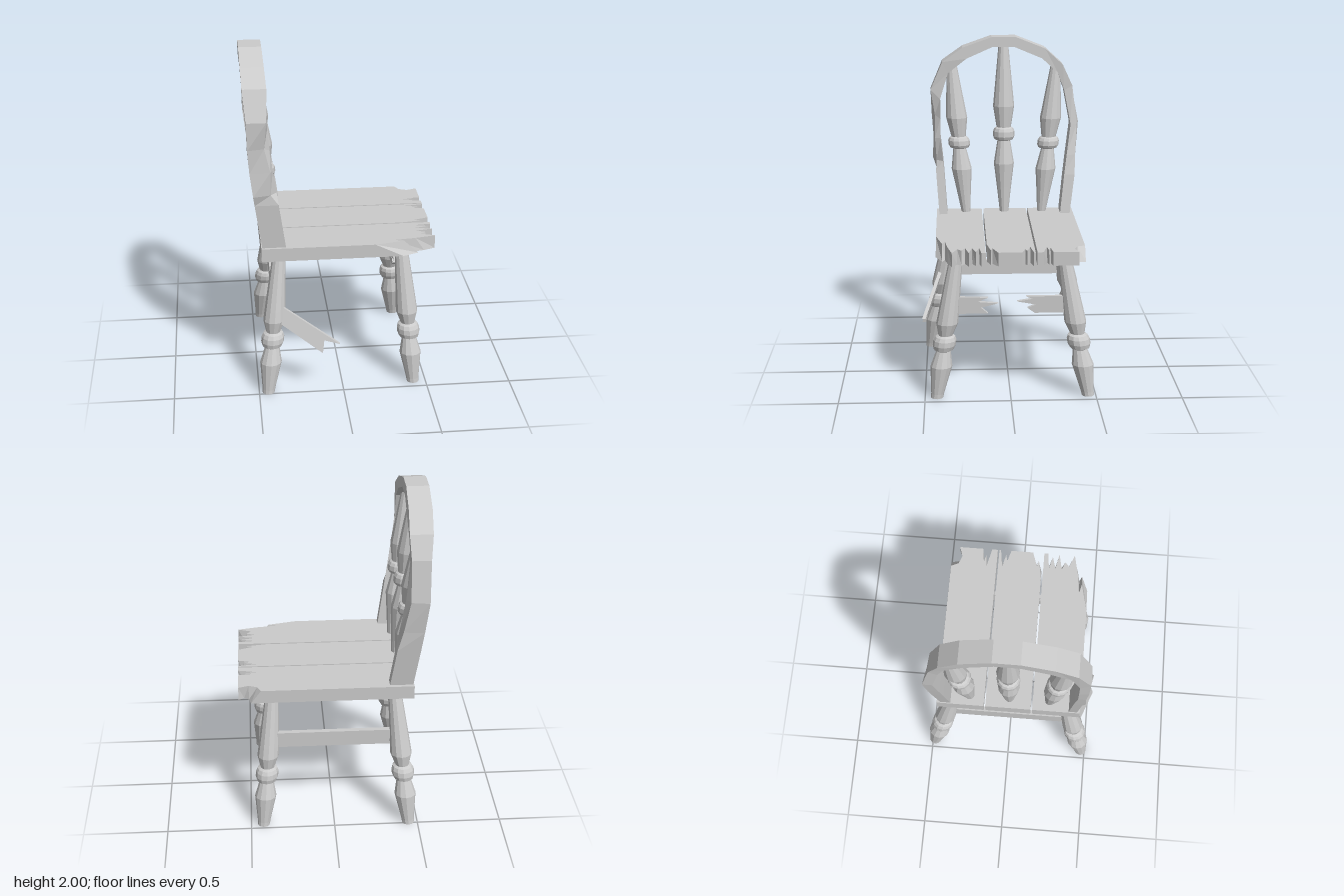
import * as THREE from 'three';

const material = new THREE.MeshStandardMaterial({ color: 0xcccccc, flatShading: true, side: THREE.DoubleSide });
const lerp = THREE.MathUtils.lerp;

function part(name, geometry) {
  geometry.computeVertexNormals();
  const mesh = new THREE.Mesh(geometry, material);
  mesh.name = name;
  return mesh;
}

// Moves every vertex of a geometry by a rule
function bend(geometry, rule) {
  const p = geometry.attributes.position;
  const v = new THREE.Vector3();
  for (let i = 0; i < p.count; i++) {
    rule(v.fromBufferAttribute(p, i));
    p.setXYZ(i, v.x, v.y, v.z);
  }
  return geometry;
}

// Turned post: a lathe with profile [radius, height 0..1], leaned from bottom to top
function turned(name, profile, bottom, top) {
  const h = top[1] - bottom[1];
  const points = profile.map(([r, t]) => new THREE.Vector2(r, t * h));
  return part(name, bend(new THREE.LatheGeometry(points, 12), v => {
    const t = v.y / h;
    v.x += lerp(bottom[0], top[0], t);
    v.y += bottom[1];
    v.z += lerp(bottom[2], top[2], t);
  }));
}

function board(points, depth) {
  const shape = new THREE.Shape(points.map(p => new THREE.Vector2(p[0], p[1])));
  return new THREE.ExtrudeGeometry(shape, { depth, bevelEnabled: false });
}

function box(name, size, position) {
  return part(name, new THREE.BoxGeometry(...size).translate(...position));
}

// Half-width of the bow along x, leaning back with height
const bowHeights = [0.88, 1.2, 1.45, 1.7, 1.85, 2];
const bowFront = [-0.32, -0.365, -0.4, -0.425, -0.415, -0.425];
const bowBack = [-0.455, -0.5, -0.53, -0.535, -0.55, -0.555];
function alongBow(values, y) {
  let i = 0;
  while (i < 4 && y > bowHeights[i + 1]) i++;
  return lerp(values[i], values[i + 1], (y - bowHeights[i]) / (bowHeights[i + 1] - bowHeights[i]));
}

// Bow: rows of [outer z, outer y, inner z, inner y, chip at the outer front corner]
function bow() {
  const rows = [
    [0.41, 0.88, 0.36, 0.88, 0], [0.43, 1.18, 0.38, 1.18, 0], [0.45, 1.24, 0.385, 1.24, 0.035],
    [0.445, 1.38, 0.40, 1.38, 0.015], [0.455, 1.52, 0.40, 1.5, 0.03], [0.458, 1.68, 0.40, 1.62, 0],
    [0.385, 1.85, 0.35, 1.78, 0], [0.26, 1.937, 0.235, 1.87, 0], [0.08, 2, 0.075, 1.94, 0],
    [-0.07, 2, -0.06, 1.94, 0], [-0.25, 1.93, -0.23, 1.87, 0], [-0.36, 1.83, -0.33, 1.78, 0],
    [-0.42, 1.7, -0.37, 1.67, 0], [-0.468, 1.46, -0.41, 1.46, 0.025], [-0.45, 1.27, -0.385, 1.27, 0.015],
    [-0.435, 1.15, -0.37, 1.15, 0], [-0.40, 0.88, -0.34, 0.88, 0],
  ];
  const positions = [];
  const index = [];
  rows.forEach(([oz, oy, iz, iy, chip], k) => {
    positions.push(
      alongBow(bowFront, oy) - chip, oy, oz - Math.sign(oz) * chip * 0.7,
      alongBow(bowBack, oy), oy, oz,
      alongBow(bowBack, iy), iy, iz,
      alongBow(bowFront, iy), iy, iz);
    if (k === rows.length - 1) return;
    for (let i = 0; i < 4; i++) {
      const a = k * 4 + i, b = k * 4 + (i + 1) % 4;
      index.push(b, a, a + 4, b, a + 4, b + 4);
    }
  });
  const geometry = new THREE.BufferGeometry();
  geometry.setAttribute('position', new THREE.Float32BufferAttribute(positions, 3));
  geometry.setIndex(index);
  return part('backBow', geometry);
}

// Seat plank with a splintered end, given as [x, z]; notches get shallower underneath
function plank(name, z0, z1, end) {
  const outline = [[-0.465, z1], [-0.465, z0], ...end].map(([x, z]) => [x, -z]);
  const geometry = board(outline, 0.08);
  bend(geometry, v => {
    if (v.z < 0.01 && v.x > 0) v.x = lerp(v.x, 0.55, 0.45);
  });
  return part(name, geometry.rotateX(-Math.PI / 2).translate(0, 0.83, 0));
}

export function createModel() {
  const chair = new THREE.Group();
  chair.name = 'brokenChair';

  // Seat
  chair.add(
    plank('seatPlankRight', -0.425, -0.145, [
      [0.42, -0.425], [0.44, -0.38], [0.49, -0.36], [0.55, -0.38], [0.55, -0.235], [0.46, -0.225], [0.51, -0.213],
      [0.44, -0.205], [0.55, -0.18], [0.55, -0.145]]),
    plank('seatPlankMiddle', -0.135, 0.135, [
      [0.55, -0.135], [0.55, -0.125], [0.44, -0.11], [0.52, -0.09], [0.48, -0.08], [0.55, -0.06],
      [0.55, 0.075], [0.46, 0.105], [0.5, 0.115], [0.38, 0.135]]),
    plank('seatPlankLeft', 0.145, 0.428, [
      [0.55, 0.145], [0.55, 0.17], [0.45, 0.18], [0.53, 0.2], [0.45, 0.22], [0.55, 0.24], [0.45, 0.26],
      [0.5, 0.28], [0.47, 0.305], [0.55, 0.335], [0.43, 0.36], [0.3, 0.375], [0.36, 0.39], [0.19, 0.428]]));

  // Legs
  const legProfile = [[0, 0], [0.036, 0], [0.038, 0.03], [0.064, 0.225], [0.042, 0.335], [0.058, 0.345], [0.067, 0.375],
    [0.067, 0.41], [0.058, 0.435], [0.042, 0.445], [0.064, 0.53], [0.06, 0.61], [0.038, 1]];
  chair.add(
    turned('frontLegLeft', legProfile, [0.425, 0, 0.43], [0.355, 0.84, 0.31]),
    turned('frontLegRight', legProfile, [0.425, 0, -0.455], [0.355, 0.84, -0.31]),
    turned('backLegLeft', legProfile, [-0.445, 0, 0.475], [-0.36, 0.84, 0.335]),
    turned('backLegRight', legProfile, [-0.445, 0, -0.485], [-0.36, 0.84, -0.325]));

  // Backrest
  const spindleProfile = [[0.026, 0], [0.045, 0.16], [0.063, 0.3], [0.04, 0.435], [0.058, 0.442], [0.067, 0.46],
    [0.067, 0.49], [0.058, 0.508], [0.045, 0.515], [0.066, 0.64], [0.055, 0.75], [0.03, 1]];
  chair.add(
    bow(),
    turned('spindleLeft', spindleProfile, [-0.4, 0.9, 0.245], [-0.48, 1.84, 0.328]),
    turned('spindleMiddle', spindleProfile, [-0.4, 0.9, 0.005], [-0.49, 1.95, 0.005]),
    turned('spindleRight', spindleProfile, [-0.4, 0.9, -0.23], [-0.48, 1.83, -0.32]));

  // Whole stretchers
  chair.add(
    box('stretcherRight', [0.75, 0.095, 0.03], [0, 0.547, -0.37]),
    box('stretcherBack', [0.03, 0.095, 0.74], [-0.39, 0.547, 0.005]));

  // Snapped front stretcher, left as two stubs; outlines are [z, y]
  const stubs = {
    stubLeft: [[0.34, 0.5], [0.34, 0.6], [0.13, 0.595], [0.19, 0.57], [0.07, 0.56], [0.17, 0.535], [0.13, 0.5]],
    stubRight: [[-0.35, 0.6], [-0.35, 0.5], [-0.14, 0.5], [-0.1, 0.53], [-0.15, 0.55], [-0.04, 0.57], [-0.13, 0.585], [-0.09, 0.6]],
  };
  for (const [name, outline] of Object.entries(stubs)) {
    chair.add(part(name, board(outline, 0.025).rotateY(-Math.PI / 2).scale(1, 1, 1).translate(0.395, 0, 0)));
  }

  // Left stretcher hanging loose from the back leg
  const loose = board([[-0.38, 0.55], [-0.38, 0.445], [-0.125, 0.27], [-0.115, 0.345], [-0.025, 0.325]], 0.022);
  chair.add(part('looseStretcher', bend(loose, v => {
    v.z += 0.402 + 0.144 * (v.x + 0.345) - 0.2625 * (v.y - 0.53);
  })));

  return chair;
}
